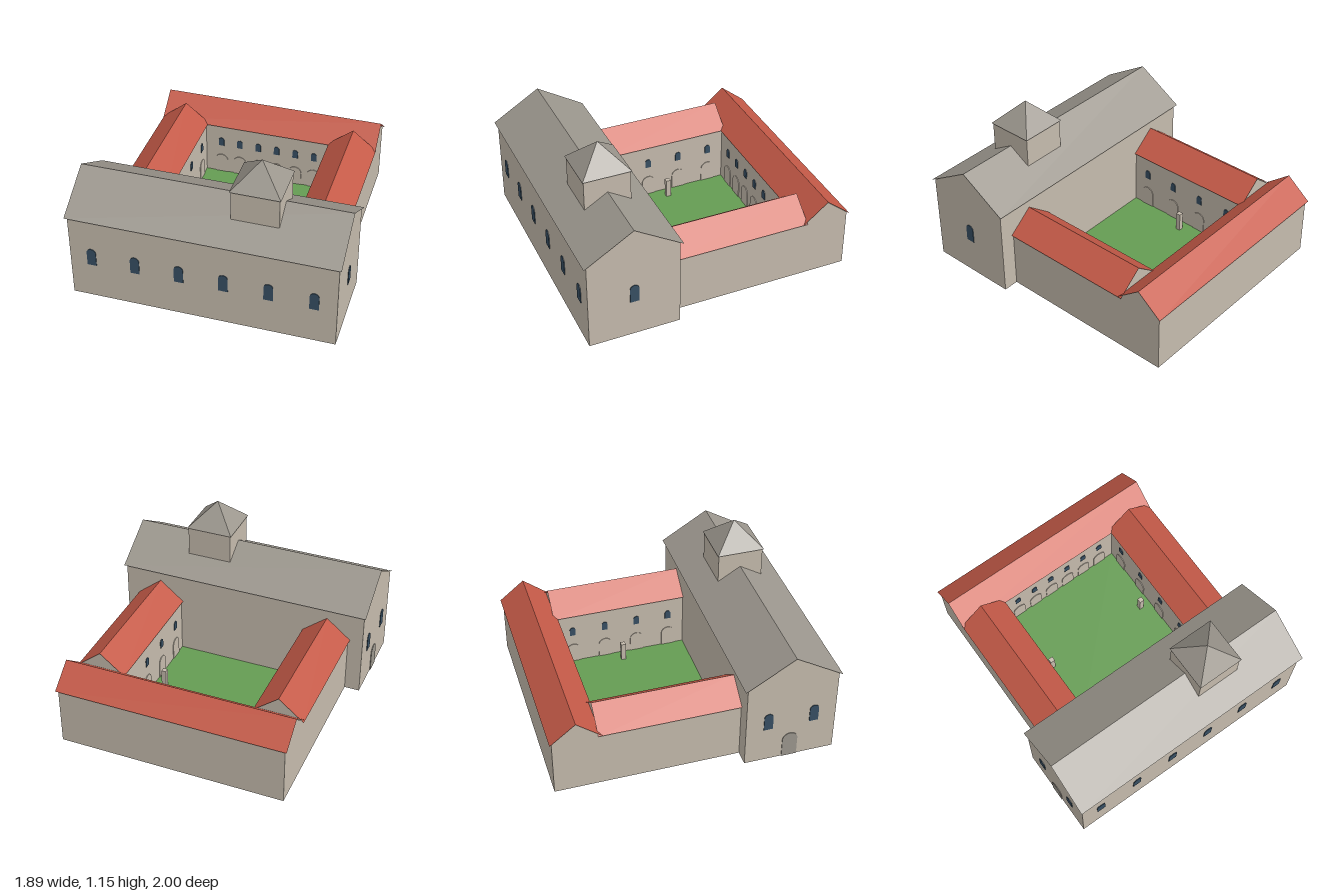
import * as THREE from 'three';

const flat = (name, color, side = THREE.FrontSide) => {
  const m = new THREE.MeshStandardMaterial({ color, side });
  m.name = name;
  return m;
};

// Flat faces from polygons, each split into a fan of triangles
function polygons(list) {
  const pos = [];
  for (const p of list)
    for (let i = 1; i < p.length - 1; i++) pos.push(...p[0], ...p[i], ...p[i + 1]);
  const g = new THREE.BufferGeometry();
  g.setAttribute('position', new THREE.Float32BufferAttribute(pos, 3));
  g.computeVertexNormals();
  return g;
}

// Hollow walls with two gable ends, running along x, open below
function gableWalls(x, z, eave, ridge) {
  const end = [[x, 0, z], [x, 0, -z], [x, eave, -z], [x, ridge, 0], [x, eave, z]];
  const side = [[-x, 0, z], [x, 0, z], [x, eave, z], [-x, eave, z]];
  const turn = p => p.map(([a, b, c]) => [-a, b, -c]);
  return polygons([end, turn(end), side, turn(side)]);
}

// Two thin roof slopes meeting at a ridge along x
function gableRoof(x, z, eave, ridge) {
  const slope = [[-x, eave, z], [x, eave, z], [x, ridge, 0], [-x, ridge, 0]];
  return polygons([slope, slope.map(([a, b, c]) => [-a, b, -c])]);
}

// Thin round-headed panel, standing on y = 0 and facing +z
function archPanel(w, h) {
  const r = w / 2, s = new THREE.Shape();
  s.moveTo(-r, 0);
  s.lineTo(r, 0);
  s.lineTo(r, h - r);
  s.absarc(0, h - r, r, 0, Math.PI, false);
  s.lineTo(-r, 0);
  return new THREE.ExtrudeGeometry(s, { depth: 0.005, bevelEnabled: false, curveSegments: 8 });
}

export function createModel() {
  const model = new THREE.Group();
  model.name = 'courtyardBuilding';
  const wall = flat('wall stone', 0xc5bbad, THREE.DoubleSide);
  const slate = flat('grey slate', 0x9c978e, THREE.DoubleSide);
  const tile = flat('red tile', 0xc55a48, THREE.DoubleSide);
  const glass = flat('dark window', 0x374f63);
  const grass = flat('grass', 0x659c53);

  const add = (name, geo, mat, x = 0, y = 0, z = 0, turn = 0, parent = model) => {
    const m = new THREE.Mesh(geo, mat);
    m.name = name;
    m.position.set(x, y, z);
    m.rotation.y = turn;
    parent.add(m);
    return m;
  };
  const Q = Math.PI / 2;

  // Main hall
  const hallZ = 0.655;
  add('hallWalls', gableWalls(0.93, 0.325, 0.656, 0.854), wall, 0, 0, hallZ);
  add('hallRoof', gableRoof(0.945, 0.345, 0.65, 0.86), slate, 0, 0, hallZ);
  const hallWindow = archPanel(0.065, 0.135);
  for (let i = 0; i < 6; i++)
    add('frontWindow', hallWindow, glass, (i - 2.5) * 0.31, 0.275, 0.98);
  add('sideWindow', hallWindow, glass, 0.93, 0.275, hallZ, Q);
  for (const dz of [-0.165, 0.165])
    add('entranceWindow', hallWindow, glass, -0.93, 0.275, hallZ + dz, -Q);
  add('entranceDoor', archPanel(0.11, 0.2), slate, -0.93, 0, hallZ, -Q);

  // Tower with pyramid roof
  const tower = new THREE.Group();
  tower.name = 'tower';
  tower.position.set(0.325, 0, hallZ);
  model.add(tower);
  add('towerWalls', new THREE.BoxGeometry(0.33, 0.23, 0.33), wall, 0, 0.865, 0, 0, tower);
  const pyramid = new THREE.ConeGeometry(0.173 * Math.SQRT2, 0.175, 4, 1, true).toNonIndexed();
  pyramid.computeVertexNormals();
  add('towerRoof', pyramid, slate, 0, 1.0675, 0, Math.PI / 4, tower);

  // Back wing
  const backZ = -0.818;
  add('backWingWalls', gableWalls(0.82, 0.165, 0.436, 0.568), wall, 0, 0, backZ);
  add('backWingRoof', gableRoof(0.835, 0.18, 0.43, 0.575), tile, 0, 0, backZ);

  // Courtyard windows above arches
  const smallWindow = archPanel(0.043, 0.07);
  const arch = archPanel(0.1, 0.165);
  const bay = (x, z, turn) => {
    add('courtyardWindow', smallWindow, glass, x, 0.25, z, turn);
    add('courtyardArch', arch, wall, x, 0, z, turn);
  };
  for (let i = 0; i < 6; i++) bay((i - 2.5) * 0.147, backZ + 0.165, 0);

  // Side wings with their bays, mirrored
  for (const s of [-1, 1]) {
    add('sideWingWalls', gableWalls(0.4915, 0.165, 0.436, 0.568), wall, s * 0.655, 0, -0.1615, Q);
    add('sideWingRoof', gableRoof(0.5, 0.18, 0.43, 0.575), tile, s * 0.655, 0, -0.17, Q);
    for (let i = 0; i < 4; i++) bay(s * 0.49, -0.16 + (i - 1.5) * 0.247, -s * Q);
    add('courtyardPost', new THREE.BoxGeometry(0.035, 0.15, 0.035), wall, s * 0.41, 0.075, -0.165);
  }

  // Courtyard lawn
  add('lawn', new THREE.BoxGeometry(0.98, 0.008, 0.983), grass, 0, 0.004, -0.1615);
  return model;
}
